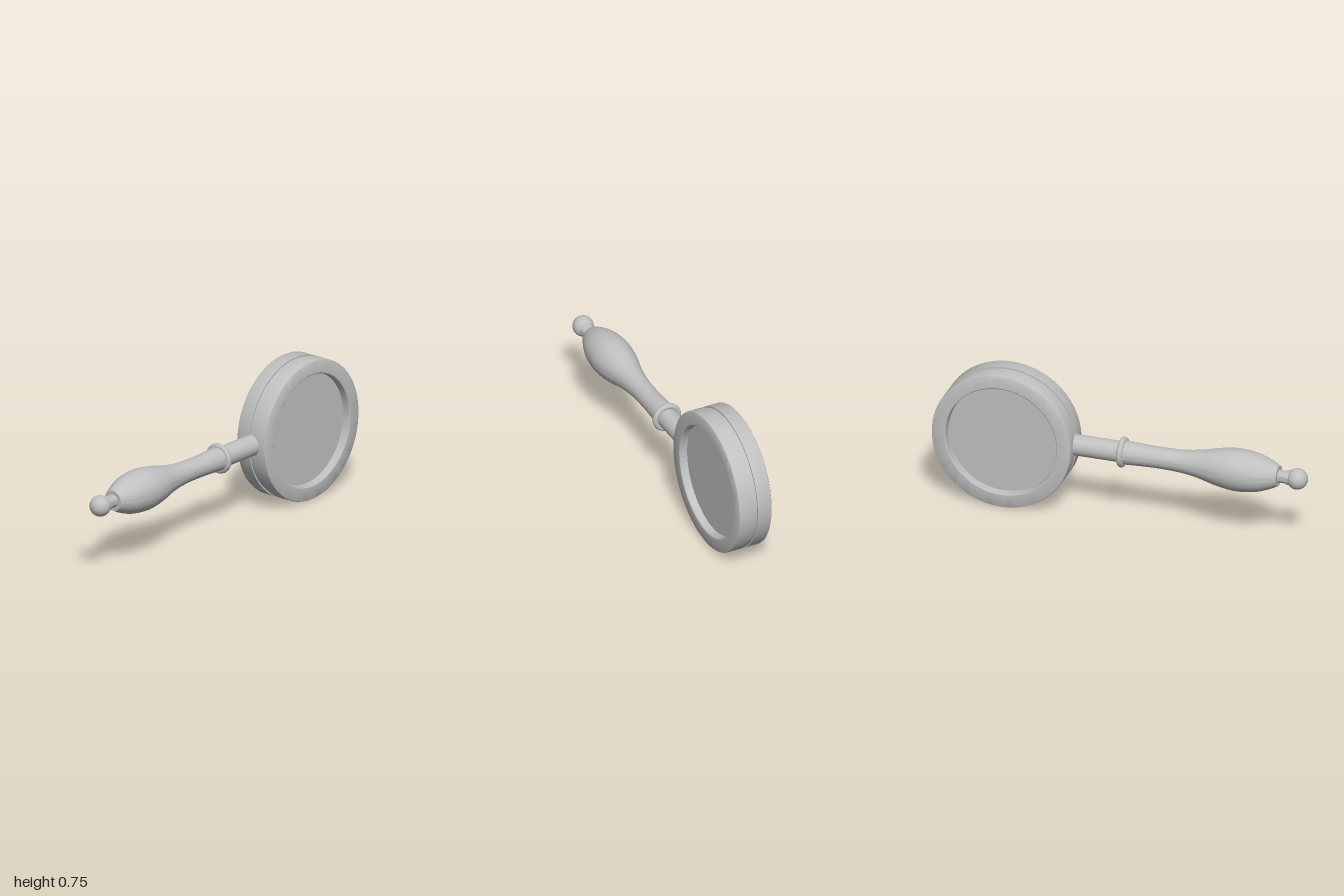
import * as THREE from 'three';
import { toCreasedNormals } from 'three/addons/utils/BufferGeometryUtils.js';

const CENTRE_Y = 0.375;

// Surface of revolution from [radius, position] pairs, with sharp edges kept
function turned(points, segments = 64) {
  const profile = points.map(([r, p]) => new THREE.Vector2(r, p));
  return toCreasedNormals(new THREE.LatheGeometry(profile, segments), 0.6);
}

export function createModel() {
  const model = new THREE.Group();
  const grey = new THREE.MeshStandardMaterial({ color: 0xc0c0c0 });
  grey.name = 'plain grey';

  const add = (name, geometry, z = 0) => {
    const mesh = new THREE.Mesh(geometry, grey);
    mesh.name = name;
    mesh.position.set(0, CENTRE_Y, z);
    model.add(mesh);
  };

  // Round head: one half profile, mirrored, with a groove around the middle
  const half = [
    [0.367, 0.012], [0.375, 0.012], [0.375, 0.086], [0.373, 0.091], [0.368, 0.094],
    [0.304, 0.094], [0.300, 0.091], [0.297, 0.052], [0, 0.052],
  ];
  const mirrored = half.map(([r, p]) => [r, -p]).reverse();
  add('roundHead', turned([...mirrored, ...half], 80).rotateZ(-Math.PI / 2), -0.625);

  // Rod joining the head to the handle
  add('rod', new THREE.CylinderGeometry(0.055, 0.055, 0.32, 48).rotateX(Math.PI / 2), -0.14);

  // Collar ring
  add('collar', new THREE.TorusGeometry(0.064, 0.016, 16, 64), 0.003);

  // Turned grip, swelling towards the end
  const curve = new THREE.SplineCurve([
    [0.064, 0.0], [0.059, 0.09], [0.056, 0.2], [0.060, 0.32], [0.074, 0.42],
    [0.098, 0.52], [0.111, 0.62], [0.102, 0.72], [0.080, 0.79], [0.054, 0.845],
  ].map(([r, p]) => new THREE.Vector2(r, p)));
  const grip = curve.getPoints(50).map((v) => [v.x, v.y]);
  add('grip', turned([[0, 0], ...grip, [0, 0.845]]).rotateX(Math.PI / 2));

  // Neck and end knob
  const neck = [[0.034, 0.835], [0.033, 0.88], [0.038, 0.892], [0.038, 0.905]];
  add('neck', turned(neck, 48).rotateX(Math.PI / 2));
  add('knob', new THREE.SphereGeometry(0.055, 48, 32).rotateX(Math.PI / 2), 0.945);

  return model;
}
